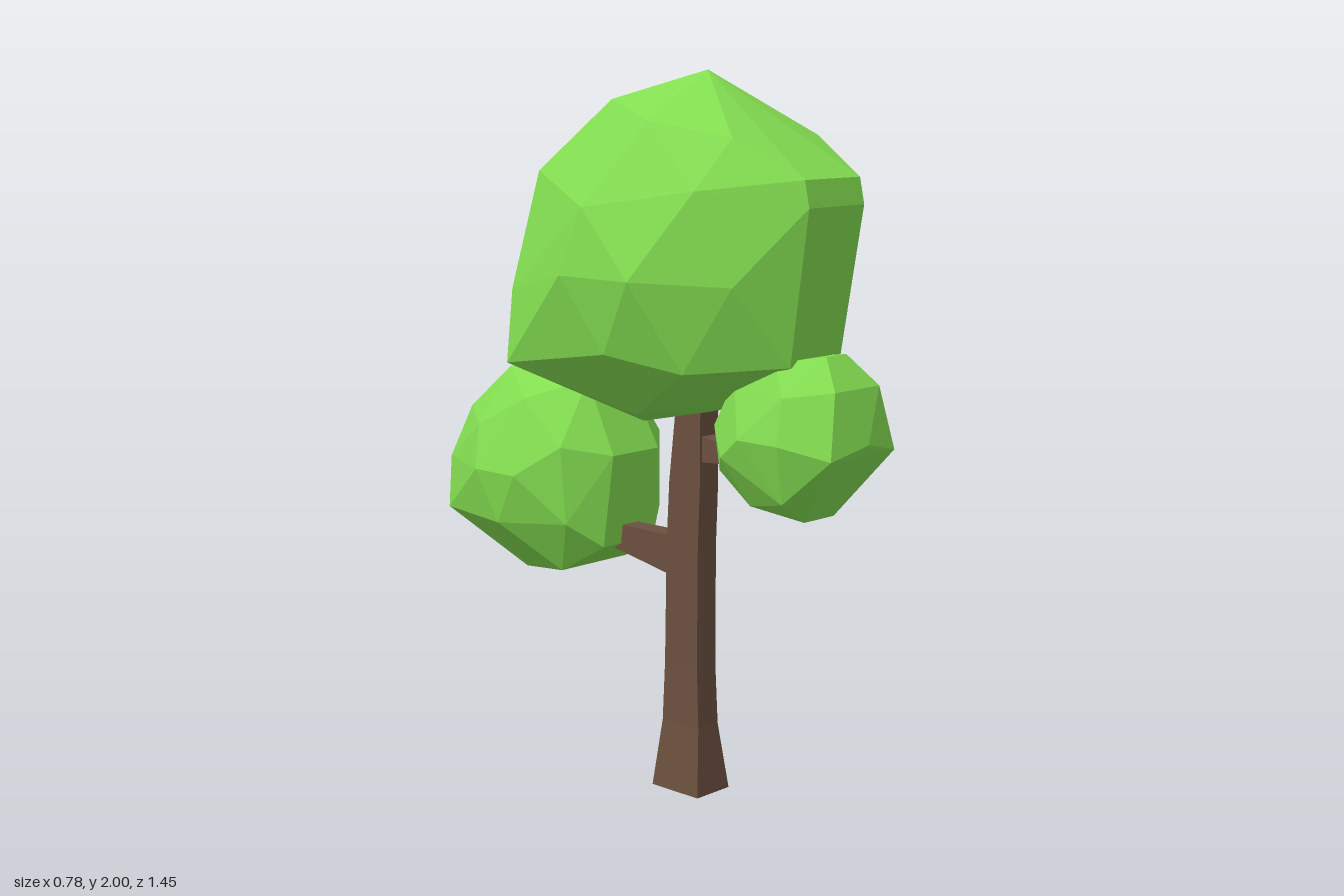
import * as THREE from 'three';
import { ConvexGeometry } from 'three/addons/geometries/ConvexGeometry.js';

const leaf = new THREE.MeshStandardMaterial({ color: 0x82dc50, flatShading: true });
const bark = new THREE.MeshStandardMaterial({ color: 0x6b503f, flatShading: true });

function addMesh(group, name, geometry, material) {
  const mesh = new THREE.Mesh(geometry, material);
  mesh.name = name;
  group.add(mesh);
}

// Convex solid from corners [x, y, z] of one half, mirrored across x = 0
function mirroredHull(corners) {
  const points = [];
  for (const [x, y, z] of corners) {
    points.push(new THREE.Vector3(x, y, z));
    if (x > 0) points.push(new THREE.Vector3(-x, y, z));
  }
  return new ConvexGeometry(points);
}

// Four-sided trunk through sections [y, back z, front z, half width]
function trunkGeometry(sections) {
  const pos = [], index = [];
  for (const [y, z0, z1, w] of sections) {
    pos.push(w, y, z1, w, y, z0, -w, y, z0, -w, y, z1);
  }
  const last = (sections.length - 1) * 4;
  for (let r = 0; r < last; r += 4) {
    for (let j = 0; j < 4; j++) {
      const k = (j + 1) % 4;
      index.push(r + j, r + k, r + 4 + k, r + j, r + 4 + k, r + 4 + j);
    }
  }
  index.push(0, 2, 1, 0, 3, 2, last, last + 1, last + 2, last, last + 2, last + 3);
  const g = new THREE.BufferGeometry();
  g.setAttribute('position', new THREE.Float32BufferAttribute(pos, 3));
  g.setIndex(index);
  g.computeVertexNormals();
  return g;
}

// Tapered square branch through sections [z, low y, high y, half width]
function branchGeometry(...sections) {
  return mirroredHull(sections.flatMap(([z, y0, y1, w]) => [[w, y0, z], [w, y1, z]]));
}

export function createModel() {
  const tree = new THREE.Group();
  tree.name = 'tree';

  // Trunk with flared foot and its two branches
  addMesh(tree, 'trunk', trunkGeometry([
    [0, 0.027, 0.2, 0.065], [0.19, 0.043, 0.18, 0.04], [0.36, 0.05, 0.172, 0.038],
    [0.7, 0.055, 0.173, 0.037], [0.88, 0.065, 0.18, 0.037], [1.15, 0.095, 0.18, 0.036],
  ]), bark);
  addMesh(tree, 'backBranch', branchGeometry([0.08, 0.61, 0.725, 0.034], [-0.06, 0.65, 0.725, 0.03], [-0.25, 0.67, 0.725, 0.028]), bark);
  addMesh(tree, 'frontBranch', branchGeometry([0.16, 0.945, 1.02, 0.03], [0.4, 0.96, 0.99, 0.022]), bark);

  // Main crown: apex, shoulders, widest belt, broad lower back, underside
  addMesh(tree, 'crown', mirroredHull([
    [0, 2, 0.17], [0.06, 1.92, -0.13], [0.22, 1.87, 0.16], [0.17, 1.83, 0.41],
    [0.11, 1.73, 0.6], [0.11, 1.66, 0.615], [0.28, 1.7, 0.38], [0.365, 1.65, 0.06],
    [0.12, 1.72, -0.36], [0.39, 1.47, 0], [0.39, 1.47, 0.25], [0.24, 1.46, 0.475],
    [0, 1.46, 0.57], [0.24, 1.4, -0.345], [0.295, 1.2, -0.31], [0.355, 1.27, 0.13],
    [0.1, 1.25, 0.55], [0.28, 1.23, 0.34], [0.2, 1.09, 0.1], [0.08, 1.1, 0.25],
    [0.05, 1.04, -0.02],
  ]), leaf);

  // Smaller leaf balls at the ends of the branches
  addMesh(tree, 'frontLeafBall', mirroredHull([
    [0.04, 1.28, 0.62], [0.1, 1.26, 0.5], [0.09, 1.2, 0.69], [0.155, 1.18, 0.57],
    [0, 1.06, 0.73], [0.13, 1.03, 0.712], [0.185, 1.06, 0.58], [0.18, 1.06, 0.44],
    [0.14, 0.9, 0.56], [0.06, 0.843, 0.57], [0.08, 0.865, 0.4], [0.09, 0.95, 0.3],
    [0.09, 1.07, 0.28], [0.1, 1.2, 0.36], [0.155, 1, 0.36],
  ]), leaf);
  addMesh(tree, 'backLeafBall', mirroredHull([
    [0.08, 1.14, -0.21], [0.1, 1.15, -0.51], [0.185, 1.08, -0.36], [0.12, 1.02, -0.66],
    [0.21, 0.99, -0.53], [0, 0.87, -0.72], [0.17, 0.87, -0.7], [0.19, 0.72, -0.69],
    [0.26, 0.87, -0.49], [0.26, 0.87, -0.33], [0.24, 0.72, -0.42], [0.09, 0.56, -0.46],
    [0.13, 0.585, -0.27], [0.1, 0.67, -0.13], [0.19, 0.74, -0.19], [0.09, 0.935, -0.1],
    [0.2, 0.96, -0.2],
  ]), leaf);

  return tree;
}
